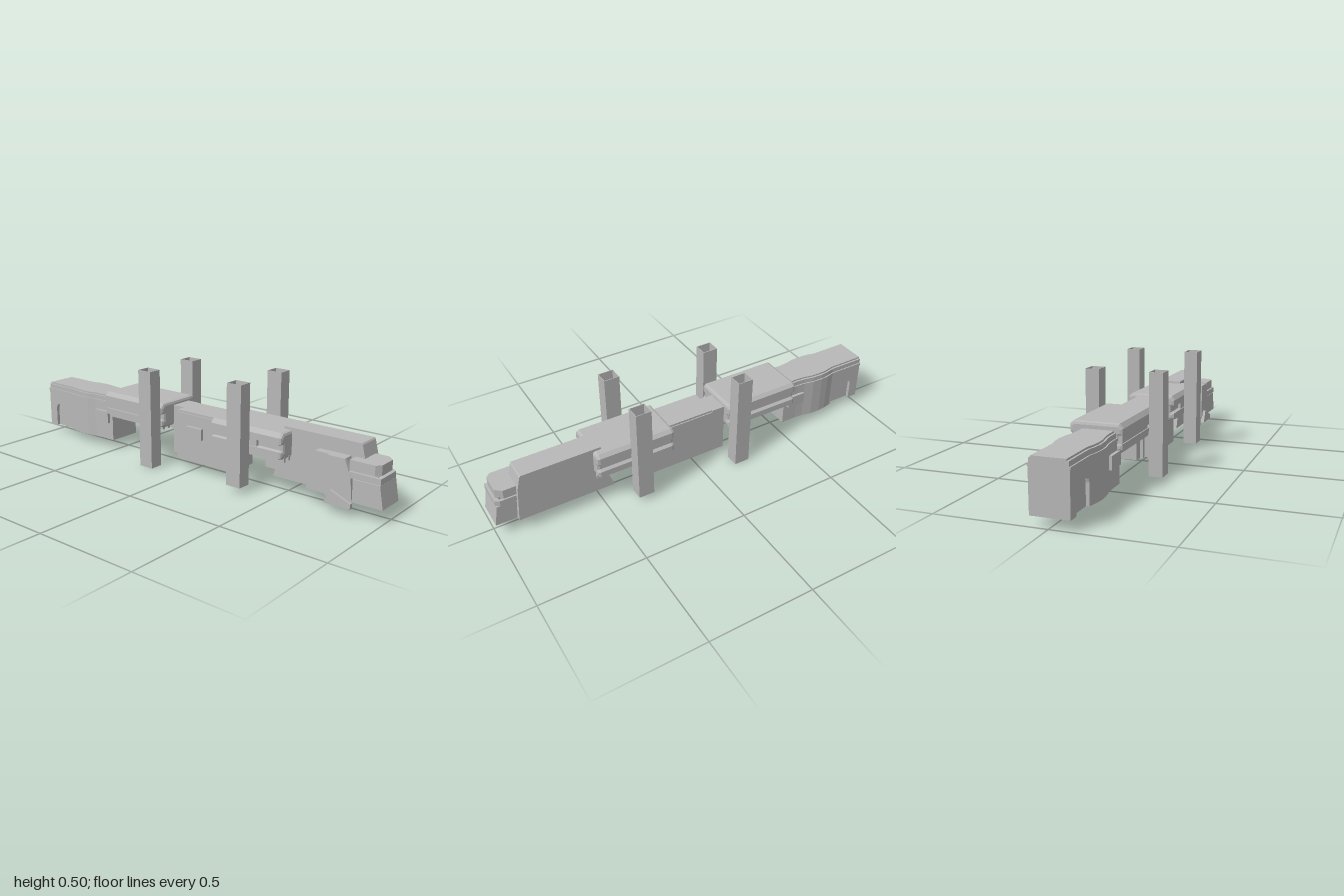
import * as THREE from 'three';

const grey = new THREE.MeshStandardMaterial({ color: 0xb8b8b8 });
grey.name = 'plain grey';

const toShape = (pts) => new THREE.Shape(pts.map(([x, y]) => new THREE.Vector2(x, y)));

export function createModel() {
  const model = new THREE.Group();
  const add = (name, geo) => {
    const m = new THREE.Mesh(geo, grey);
    m.name = name;
    model.add(m);
    return m;
  };
  // box given by its limits
  const box = (name, x0, x1, y0, y1, z0, z1) =>
    add(name, new THREE.BoxGeometry(x1 - x0, y1 - y0, z1 - z0)
      .translate((x0 + x1) / 2, (y0 + y1) / 2, (z0 + z1) / 2));
  // side outline [x, y] pushed from z0 to z1
  const sidePrism = (name, shape, z0, z1) =>
    add(name, new THREE.ExtrudeGeometry(shape, { depth: z1 - z0, bevelEnabled: false, curveSegments: 6 })
      .translate(0, 0, z0));
  // plan outline [x, z] raised from y0 to y1
  const planPrism = (name, pts, y0, y1) =>
    add(name, new THREE.ExtrudeGeometry(toShape(pts.map(([x, z]) => [x, -z])),
      { depth: y1 - y0, bevelEnabled: false }).rotateX(-Math.PI / 2).translate(0, y0, 0));
  // cross-section [z, y] run from x0 to x1, with chamfered ends
  const runPrism = (name, pts, x0, x1, bevel = 0) =>
    add(name, new THREE.ExtrudeGeometry(toShape(pts), {
      depth: x1 - x0 - 2 * bevel, bevelEnabled: bevel > 0, bevelThickness: bevel,
      bevelSize: bevel, bevelOffset: -bevel, bevelSegments: 2,
    }).rotateY(-Math.PI / 2).translate(x1 - bevel, 0, 0));

  // four hollow square posts
  for (const [x, y0, y1] of [[-0.2, 0, 0.475], [0.326, 0.03, 0.497]]) {
    for (const z of [-0.152, 0.152]) {
      const rect = (hx, hz) => [[x - hx, -z - hz], [x + hx, -z - hz], [x + hx, -z + hz], [x - hx, -z + hz]];
      const s = toShape(rect(0.038, 0.033));
      s.holes.push(toShape(rect(0.035, 0.03)));
      add('post', new THREE.ExtrudeGeometry(s, { depth: y1 - y0, bevelEnabled: false })
        .rotateX(-Math.PI / 2).translate(0, y0, 0));
    }
  }

  // tail block: end with an arched niche on both sides
  const end = toShape([[-1, 0.045], [-0.95, 0.045], [-0.95, 0.14], [-0.943, 0.158], [-0.928, 0.165],
    [-0.85, 0.165], [-0.835, 0.158], [-0.83, 0.14], [-0.83, 0.045], [-0.82, 0.045], [-0.82, 0.24], [-1, 0.24]]);
  sidePrism('tailEnd', end, -0.078, 0.092);
  box('nicheBack', -0.96, -0.82, 0.045, 0.17, -0.062, 0.076);

  // tail block: wavy sides, then ledge and roof following the same outline
  const wave = [[-0.82, 0.085], [-0.78, 0.094], [-0.74, 0.098], [-0.69, 0.096], [-0.64, 0.086], [-0.6, 0.083], [-0.52, 0.083]];
  const outline = (start, grow, stop) => {
    const mid = wave.map(([x, w]) => [Math.min(x, stop), w + grow]);
    const half = start < -0.82 ? [[start, 0.085 + grow], ...mid] : mid;
    return [...half.map(([x, w]) => [x, w + 0.007]),
      ...half.slice().reverse().map(([x, w]) => [x, 0.007 - w])];
  };
  planPrism('tailBody', outline(-0.82, 0, -0.52), 0.045, 0.235);
  planPrism('tailLedge', outline(-1, 0.003, -0.54), 0.235, 0.246);
  planPrism('tailRoofSide', outline(-1, -0.003, -0.54), 0.246, 0.268);
  planPrism('tailRoofTop', outline(-1, -0.012, -0.54), 0.268, 0.276);
  box('tailHatchFront', -0.635, -0.54, 0.135, 0.195, 0.08, 0.105);
  box('tailHatchBack', -0.635, -0.54, 0.135, 0.195, -0.09, -0.07);

  // two roof shells with stepped, grooved flanks
  const shell = (name, x0, x1, top) => {
    const d = top - 0.305;
    runPrism(name, [[-0.108, 0.305], [-0.124, 0.29], [-0.124, 0.255], [-0.112, 0.245], [-0.112, 0.225],
      [-0.124, 0.215], [-0.124, 0.185], [-0.075, 0.185], [0.09, 0.182], [0.117, 0.192], [0.117, 0.222],
      [0.1, 0.226], [0.1, 0.25], [0.117, 0.255], [0.117, 0.285], [0.1, 0.305]]
      .map(([z, y]) => [z, y + d]).reverse(), x0, x1, 0.014);
  };
  shell('rearShell', -0.545, -0.155, 0.306);
  shell('frontShell', 0.14, 0.53, 0.296);
  box('rearShellSkirt', -0.54, -0.24, 0.2, 0.285, 0.09, 0.113);

  // tapered keel and rails beneath the shells
  sidePrism('rearKeel', toShape([[-0.54, 0.2], [-0.35, 0.168], [-0.15, 0.168], [-0.15, 0.2]]), -0.07, 0.03);
  for (const z of [-0.1, 0.05, 0.085]) {
    box('rearRail', -0.52, -0.17, 0.172, 0.195, z - 0.007, z + 0.007);
    box('frontRail', 0.24, 0.53, 0.162, 0.185, z - 0.007, z + 0.007);
  }
  box('frontKeel', 0.23, 0.5, 0.165, 0.28, -0.075, 0.03);
  box('frontTrim', 0.25, 0.4, 0.205, 0.25, 0.09, 0.114);

  // middle block
  box('middleBody', -0.09, 0.24, 0.045, 0.275, -0.08, 0.08);
  box('middleRoof', -0.09, 0.24, 0.275, 0.285, -0.075, 0.074);
  box('middleNeck', -0.155, -0.09, 0.045, 0.285, -0.08, 0.03);
  box('middleJamb', -0.11, -0.09, 0.045, 0.22, 0.02, 0.045);
  box('middleHatch', -0.022, 0.07, 0.165, 0.22, 0.08, 0.096);

  // head block
  sidePrism('headBody', toShape([[0.435, 0.065], [0.9, 0.065], [0.885, 0.24], [0.87, 0.3],
    [0.865, 0.307], [0.49, 0.307], [0.48, 0.19]]), -0.076, 0.034);
  sidePrism('headPod', toShape([[0.63, 0.065], [0.9, 0.065], [0.9, 0.2], [0.83, 0.2], [0.82, 0.245],
    [0.67, 0.245]]), 0.03, 0.072);
  sidePrism('headPanel', toShape([[0.73, 0.065], [0.86, 0.065], [0.85, 0.17], [0.82, 0.245], [0.74, 0.245]]), 0.07, 0.086);
  sidePrism('headFoot', toShape([[0.735, 0.037], [0.862, 0.037], [0.862, 0.06], [0.765, 0.1]]), 0.082, 0.1);

  // stepped nose
  planPrism('noseTop', [[0.84, -0.056], [0.945, -0.056], [0.975, -0.03], [0.975, 0.06], [0.955, 0.082], [0.84, 0.082]], 0.2, 0.245);
  planPrism('noseBand', [[0.84, -0.058], [0.965, -0.058], [0.985, -0.045], [0.985, 0.085], [0.84, 0.085]], 0.168, 0.195);
  box('noseCore', 0.84, 0.965, 0.15, 0.21, -0.045, 0.072);
  sidePrism('noseBase', toShape([[0.86, 0.065], [1, 0.065], [0.982, 0.165], [0.86, 0.165]]), -0.054, 0.084);

  return model;
}
